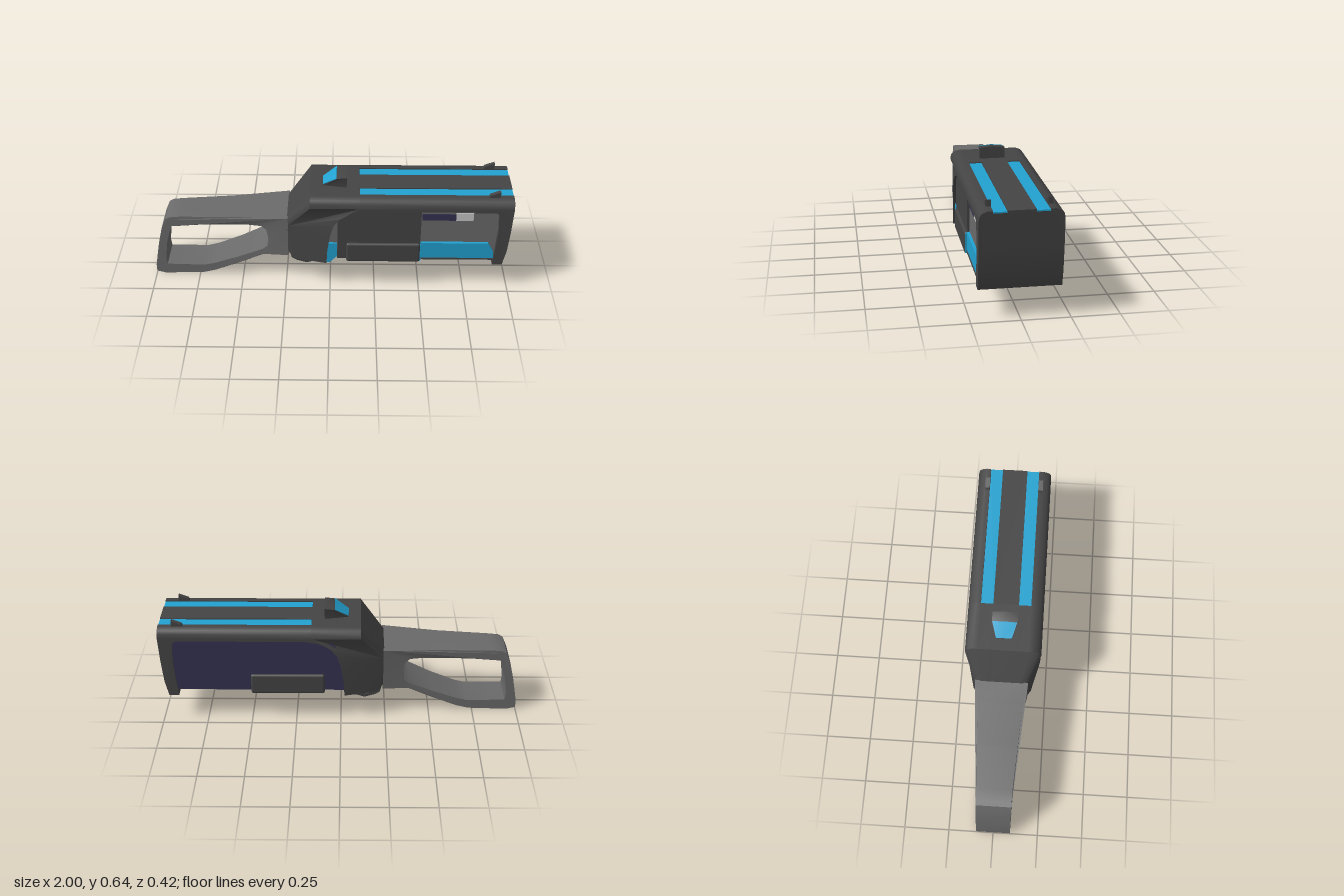
import * as THREE from 'three';
import { toCreasedNormals } from 'three/addons/utils/BufferGeometryUtils.js';
import { RoundedBoxGeometry } from 'three/addons/geometries/RoundedBoxGeometry.js';

const material = (name, color) => {
  const m = new THREE.MeshStandardMaterial({ color });
  m.name = name;
  return m;
};
const toShape = (pts) => new THREE.Shape(pts.map(([x, y]) => new THREE.Vector2(x, y)));

// Side profile carried through a list of z layers; the rule may move each vertex.
function slab(pts, layers, { hole, rule } = {}) {
  const shape = toShape(pts);
  if (hole) shape.holes.push(toShape(hole));
  const n = layers.length - 1;
  const geo = new THREE.ExtrudeGeometry(shape, { depth: n, steps: n, bevelEnabled: false });
  const p = geo.attributes.position;
  const v = new THREE.Vector3();
  for (let i = 0; i < p.count; i++) {
    const k = Math.round(p.getZ(i));
    v.set(p.getX(i), p.getY(i), layers[k]);
    if (rule) rule(v, k);
    p.setXYZ(i, v.x, v.y, v.z);
  }
  return toCreasedNormals(geo, 0.55);
}

export function createModel() {
  const group = new THREE.Group();
  const dark = material('dark body', 0x444444);
  const grey = material('mid grey', 0x6a6a6a);
  const blue = material('bright blue', 0x22a2d0);
  const purple = material('dark purple', 0x343250);
  const light = material('light grey', 0xc6c6c6);

  const add = (name, geo, mat) => {
    const mesh = new THREE.Mesh(geo, mat);
    mesh.name = name;
    group.add(mesh);
    return mesh;
  };
  const box = (name, mat, x0, x1, y0, y1, z0, z1) =>
    add(name, new THREE.BoxGeometry(x1 - x0, y1 - y0, z1 - z0), mat)
      .position.set((x0 + x1) / 2, (y0 + y1) / 2, (z0 + z1) / 2);

  // Outer shell: arched cutout, rounded top edges, two grooves on top. Half section: [z, top drop, groove]
  const half = [[0.21, 0.05, 0], [0.205, 0.025, 0], [0.192, 0.01, 0], [0.165, 0, 0],
    [0.14, 0, 0], [0.14, 0, 1], [0.07, 0, 1], [0.07, 0, 0]];
  const section = [...half.map(([z, d, g]) => [-z, d, g]), ...half.slice().reverse()];
  const shellPts = [[-0.24, 0.415], [-0.24, 0.2], [-0.2, 0.16], [-0.02, 0.16], [-0.015, 0.25],
    [0, 0.345], [0.02, 0.41], [0.055, 0.455], [0.11, 0.488], [0.2, 0.505], [0.9, 0.505], [0.92, 0.49],
    [0.925, 0.38], [0.915, 0.25], [0.905, 0.16], [0.96, 0.16], [0.98, 0.25], [0.992, 0.38],
    [1, 0.572], [0.161, 0.572], [0.16, 0.572], [-0.11, 0.572]];
  add('shell', slab(shellPts, section.map((s) => s[0]), {
    rule: (v, k) => {
      const [, drop, groove] = section[k];
      if (v.y > 0.56 || (v.x < -0.2 && v.y > 0.4)) v.y -= drop;
      if (groove && v.x > 0.1605 && v.y > 0.56) v.y -= 0.012;
      if (v.x < -0.11) v.z *= THREE.MathUtils.mapLinear(v.x, -0.24, -0.11, 0.69, 1);
    },
  }), dark);

  // Stock with a hand opening, narrowing towards the rear
  const stockPts = [[-0.235, 0.415], [-0.36, 0.407], [-0.6, 0.4], [-0.84, 0.391], [-0.9, 0.385], [-0.925, 0.37],
    [-0.95, 0.31], [-0.975, 0.2], [-1, 0.06], [-1, 0.015], [-0.95, 0.002], [-0.73, 0.01], [-0.66, 0.028],
    [-0.52, 0.088], [-0.38, 0.157], [-0.235, 0.168]];
  const stockHole = [[-0.895, 0.325], [-0.72, 0.34], [-0.46, 0.35], [-0.385, 0.347], [-0.358, 0.325],
    [-0.347, 0.26], [-0.355, 0.215], [-0.385, 0.19], [-0.52, 0.13], [-0.66, 0.077], [-0.72, 0.062],
    [-0.935, 0.065], [-0.94, 0.11], [-0.925, 0.22]];
  const widths = [[-1, 0.095], [-0.65, 0.1], [-0.45, 0.112], [-0.35, 0.125], [-0.235, 0.147]];
  const widthAt = (x) => {
    const i = Math.max(1, widths.findIndex((w) => w[0] >= x - 1e-6));
    const [a, b] = [widths[i - 1], widths[i]];
    return THREE.MathUtils.mapLinear(x, a[0], b[0], a[1], b[1]);
  };
  add('stock', slab(stockPts, [-1, 1], { hole: stockHole, rule: (v) => { v.z *= widthAt(v.x); } }), grey);

  // Core inside the cutout: plain on one side, machinery on the other
  const corePts = [[-0.05, 0.19], [0.935, 0.19], [0.935, 0.515], [0.2, 0.515], [0.06, 0.5], [-0.03, 0.4]];
  add('backPanel', slab(corePts, [-0.196, 0]), purple);
  add('innerFrame', slab(corePts, [0, 0.184]), grey);
  add('coverPanel', slab([[0.04, 0.188], [0.5, 0.188], [0.5, 0.515], [0.2, 0.515], [0.04, 0.46]], [0, 0.197]), dark);
  add('lowerGlow', slab([[0.5, 0.187], [0.912, 0.187], [0.906, 0.24], [0.875, 0.295], [0.5, 0.295]], [0, 0.2]), blue);
  add('rearGlow', slab([[-0.03, 0.161], [0, 0.161], [0.038, 0.2], [0.038, 0.285], [-0.03, 0.285]], [0, 0.198]), blue);
  box('slotBar', purple, 0.505, 0.69, 0.437, 0.477, 0.18, 0.188);
  box('slotBolt', light, 0.69, 0.785, 0.437, 0.485, 0.18, 0.189);
  box('slotLip', dark, 0.79, 0.93, 0.487, 0.515, 0.18, 0.189);
  box('lowerSeam', dark, 0.5, 0.91, 0.187, 0.197, 0.195, 0.203);

  // Wrap-around fore grip with a blue front edge on one side
  const grip = add('foreGrip', new RoundedBoxGeometry(0.41, 0.12, 0.424, 3, 0.012), dark);
  grip.position.set(0.295, 0.232, 0);
  box('gripGlow', blue, 0.499, 0.504, 0.178, 0.288, 0, 0.209);

  // Top strips and front sights, mirrored
  for (const s of [-1, 1]) {
    const [z0, z1] = s > 0 ? [0.071, 0.139] : [-0.139, -0.071];
    box('topStrip', blue, 0.162, 0.999, 0.558, 0.567, z0, z1);
    add('frontSight', slab([[0.86, 0.565], [0.925, 0.565], [0.925, 0.606], [0.87, 0.585]],
      s > 0 ? [0.14, 0.165] : [-0.165, -0.14]), dark);
  }

  // Rear sight with a ridge and a blue sloped face
  const sightWidth = (x) => THREE.MathUtils.clamp(THREE.MathUtils.mapLinear(x, -0.04, 0.035, 0.045, 0.07), 0.045, 0.07);
  const sightRule = (v) => {
    if (v.z === 0 && v.y > 0.62) v.y += 0.007;
    v.z *= sightWidth(v.x);
  };
  add('rearSight', slab([[-0.04, 0.565], [0.09, 0.565], [0.09, 0.633], [0.035, 0.627], [-0.04, 0.577]],
    [-1, 0, 1], { rule: sightRule }), dark);
  add('rearSightGlow', slab([[-0.04, 0.574], [0.035, 0.624], [0.034, 0.63], [-0.042, 0.58]],
    [-0.97, 0, 0.97], { rule: sightRule }), blue);

  // Trigger guard and trigger
  add('triggerGuard', slab(
    [[-0.24, 0.17], [-0.222, 0.1], [-0.195, 0.082], [-0.135, 0.064], [-0.075, 0.082], [-0.045, 0.17]],
    [-0.07, 0.07],
    { hole: [[-0.212, 0.162], [-0.2, 0.108], [-0.14, 0.084], [-0.088, 0.1], [-0.072, 0.162]] }), dark);
  add('trigger', slab([[-0.185, 0.165], [-0.138, 0.098], [-0.132, 0.165]], [-0.025, 0.025]), dark);

  return group;
}
